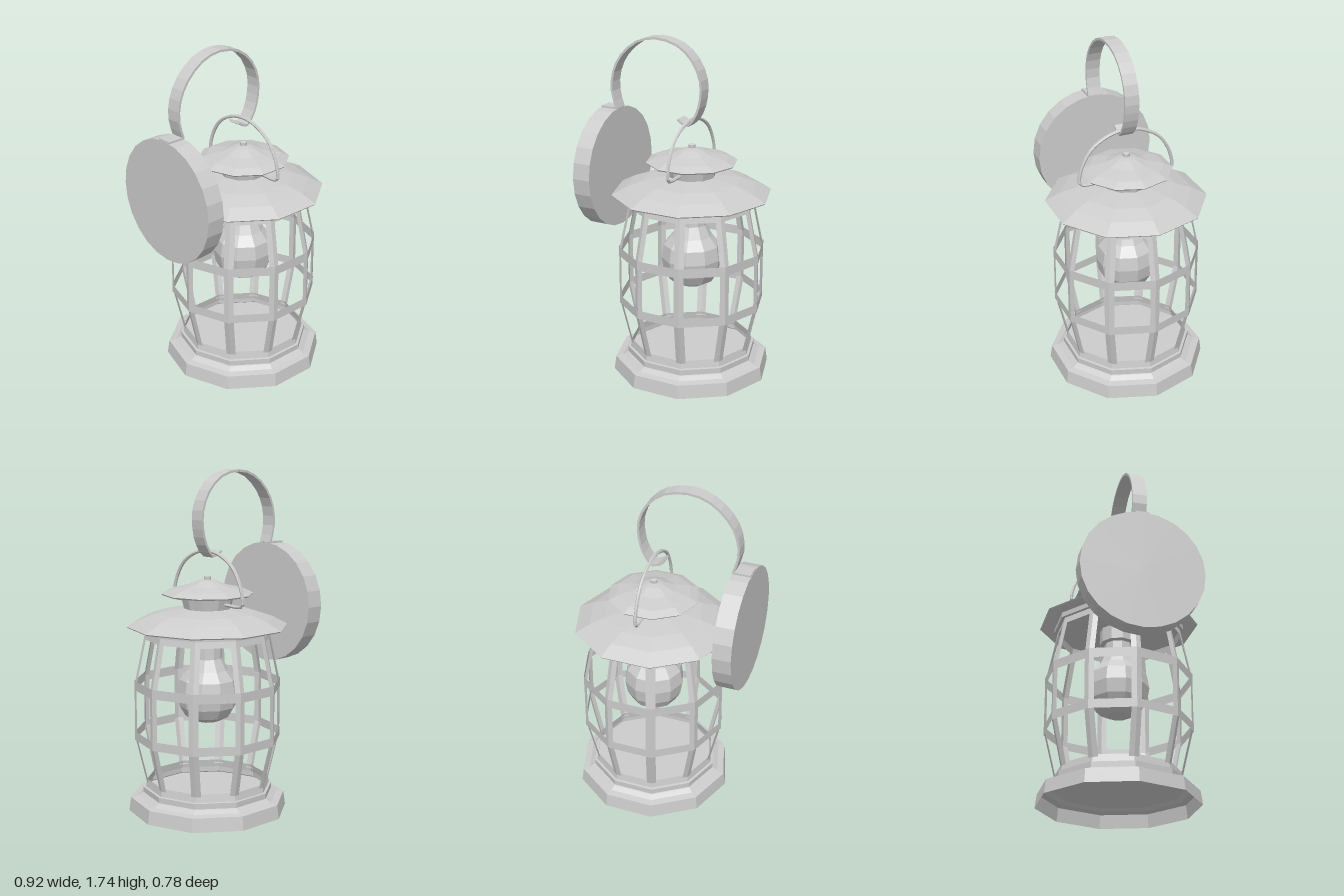
import * as THREE from 'three';

const SIDES = 10;
const material = new THREE.MeshStandardMaterial({ color: 0xcccccc, flatShading: true, side: THREE.DoubleSide });

function add(parent, name, geometry) {
  const mesh = new THREE.Mesh(geometry, material);
  mesh.name = name;
  parent.add(mesh);
  return mesh;
}

// Ten-sided turned part with a corner on +x; profile is a list of [radius, y]
function turned(profile) {
  const points = profile.map(([r, y]) => new THREE.Vector2(r, y));
  return new THREE.LatheGeometry(points, SIDES, Math.PI / 2);
}

// Cage bar folded around one corner of the decagon
function cageBar(profile, angle, width) {
  const positions = [];
  const index = [];
  const half = Math.PI / SIDES;
  profile.forEach(([r, y], i) => {
    for (const side of [-1, 0, 1]) {
      const x = r - Math.abs(side) * width * Math.sin(half);
      const z = side * width * Math.cos(half);
      positions.push(x * Math.cos(angle) - z * Math.sin(angle), y, x * Math.sin(angle) + z * Math.cos(angle));
    }
    if (i === 0) return;
    for (let j = 0; j < 2; j++) {
      const a = (i - 1) * 3 + j;
      const b = i * 3 + j;
      index.push(a, b, a + 1, b, b + 1, a + 1);
    }
  });
  const geometry = new THREE.BufferGeometry();
  geometry.setAttribute('position', new THREE.Float32BufferAttribute(positions, 3));
  geometry.setIndex(index);
  geometry.computeVertexNormals();
  return geometry;
}

// Flat strip of constant width that follows a curve in the xy plane
function strip(coords, thickness, width) {
  const curve = new THREE.SplineCurve(coords.map(([x, y]) => new THREE.Vector2(x, y)));
  const outer = [];
  const inner = [];
  const steps = 24;
  for (let i = 0; i <= steps; i++) {
    const p = curve.getPoint(i / steps);
    const t = curve.getTangent(i / steps);
    const n = new THREE.Vector2(-t.y, t.x).multiplyScalar(thickness / 2);
    outer.push(p.clone().add(n));
    inner.unshift(p.clone().sub(n));
  }
  const shape = new THREE.Shape([...outer, ...inner]);
  return new THREE.ExtrudeGeometry(shape, { depth: width, bevelEnabled: false }).translate(0, 0, -width / 2);
}

export function createModel() {
  const model = new THREE.Group();
  model.name = 'wallLantern';

  const lantern = new THREE.Group();
  lantern.name = 'lantern';
  lantern.position.x = 0.045;
  model.add(lantern);

  // Hollow stepped base with a raised floor
  add(lantern, 'base', turned([
    [0.41, 0.255], [0.4, 0.325], [0.365, 0.332], [0.34, 0.348], [0.335, 0.35],
    [0.335, 0.378], [0.322, 0.38], [0.315, 0.42],
  ]));
  add(lantern, 'floor', turned([[0.34, 0.345], [0, 0.345]]));

  // Cage: folded bars and horizontal bands
  const cage = new THREE.Group();
  cage.name = 'cage';
  lantern.add(cage);
  const barProfile = [[0.316, 0.4], [0.375, 0.65], [0.375, 0.92], [0.322, 1.17]];
  for (let i = 0; i < SIDES; i++) {
    add(cage, 'cageBar', cageBar(barProfile, (i * Math.PI * 2) / SIDES, 0.026));
  }
  for (const [bottom, top] of [[0.63, 0.675], [0.892, 0.94]]) {
    add(cage, 'cageBand', turned([[0.376, bottom], [0.376, top]]));
  }
  add(cage, 'topCollar', turned([[0.325, 1.155], [0.318, 1.19], [0.335, 1.19], [0.335, 1.215]]));
  add(cage, 'ceiling', turned([[0.33, 1.19], [0, 1.19]]));

  // Roof, chimney neck and cap
  add(lantern, 'roof', turned([
    [0.405, 1.212], [0.41, 1.218], [0.335, 1.258], [0.25, 1.287], [0.12, 1.307],
  ]));
  add(lantern, 'chimneyNeck', turned([[0.12, 1.305], [0.138, 1.385]]));
  add(lantern, 'chimneyCap', turned([
    [0, 1.375], [0.228, 1.375], [0.234, 1.382], [0.19, 1.403], [0.105, 1.422],
    [0.05, 1.445], [0.018, 1.452], [0.018, 1.468], [0, 1.474],
  ]));

  // Bulb and socket
  add(lantern, 'socket', turned([[0.095, 1.19], [0.095, 1.115], [0.07, 1.11]]));
  add(lantern, 'bulb', turned([
    [0.072, 1.115], [0.075, 1.05], [0.105, 0.99], [0.145, 0.94], [0.157, 0.87],
    [0.145, 0.8], [0.115, 0.75], [0.06, 0.722], [0, 0.713],
  ]));

  // Bail handle with ends turned in to the neck
  const right = [[0.09, 1.58], [0.18, 1.525], [0.237, 1.43], [0.25, 1.345], [0.235, 1.335], [0.13, 1.335]];
  const left = right.map(([z, y]) => [-z, y]).reverse();
  const handlePath = new THREE.CatmullRomCurve3(
    [...left, [0, 1.597], ...right].map(([z, y]) => new THREE.Vector3(0, y, z)), false, 'centripetal');
  add(lantern, 'handle', new THREE.TubeGeometry(handlePath, 40, 0.009, 6));

  // Round wall plate
  const plate = add(model, 'wallPlate', new THREE.CylinderGeometry(0.315, 0.315, 0.095, 24).rotateZ(Math.PI / 2));
  plate.position.set(-0.417, 1.297, 0);

  // Curled hook and the tab that fixes it to the plate
  add(model, 'hook', strip([
    [-0.373, 1.612], [-0.398, 1.7], [-0.388, 1.8], [-0.34, 1.89], [-0.25, 1.965], [-0.14, 1.992],
    [-0.02, 1.967], [0.065, 1.895], [0.108, 1.8], [0.108, 1.71], [0.085, 1.63], [0.037, 1.57], [-0.018, 1.595],
  ], 0.012, 0.074));
  const tab = add(model, 'hookTab', new THREE.BoxGeometry(0.092, 0.012, 0.074));
  tab.position.set(-0.417, 1.611, 0);

  return model;
}
